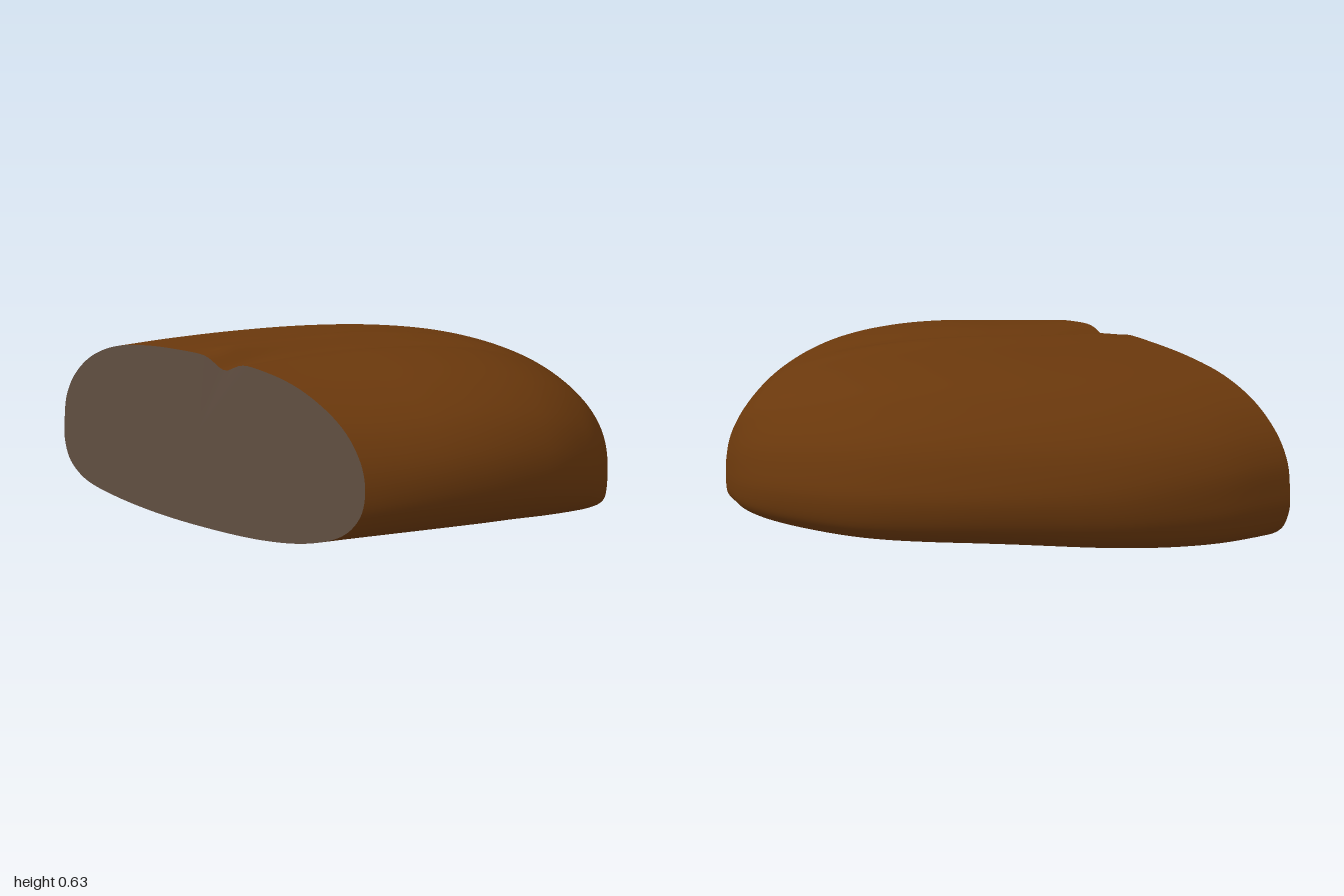
import * as THREE from 'three';

// Half loaf: [back edge x, z, crown height, front edge x, z] from the cut to the tip
const STATIONS = [
  [-1, -0.22, 0.612, 0.135, 0.65],
  [-0.8, -0.37, 0.614, 0.23, 0.63],
  [-0.55, -0.50, 0.618, 0.335, 0.603],
  [-0.25, -0.59, 0.622, 0.455, 0.563],
  [0.05, -0.645, 0.612, 0.57, 0.513],
  [0.3, -0.65, 0.587, 0.68, 0.45],
  [0.52, -0.60, 0.545, 0.77, 0.385],
  [0.7, -0.52, 0.485, 0.85, 0.305],
  [0.82, -0.425, 0.415, 0.915, 0.22],
  [0.91, -0.31, 0.33, 0.96, 0.12],
  [0.97, -0.215, 0.23, 0.988, 0.01],
  [0.998, -0.15, 0.12, 0.998, -0.08],
];

// Cross-section: across the slice, then height, back edge over the top to the front
const PROFILE = [
  [-1, 0.16], [-1, 0.25], [-0.988, 0.34], [-0.947, 0.43], [-0.87, 0.513],
  [-0.77, 0.567], [-0.645, 0.596], [-0.5, 0.609], [-0.37, 0.612], [-0.24, 0.606],
  [-0.13, 0.587], [-0.04, 0.55], [0.05, 0.485], [0.11, 0.395], [0.13, 0.30],
  [0.115, 0.21], [0.06, 0.135], [-0.05, 0.075], [-0.2, 0.035], [-0.4, 0.01],
  [-0.6, 0], [-0.78, 0.008], [-0.9, 0.03], [-0.97, 0.08],
];

// Further along, the back edge tucks under: replacements by profile index
const TUCKED = {
  0: [-0.985, 0.17], 1: [-1, 0.26], 2: [-0.98, 0.34], 3: [-0.935, 0.43], 4: [-0.855, 0.51],
  19: [-0.4, 0], 20: [-0.6, 0.015], 21: [-0.78, 0.05], 22: [-0.89, 0.085], 23: [-0.95, 0.125],
};

const RINGS = 72;
const SIDES = 180;
const bump = (v, centre, width) => Math.exp(-(((v - centre) / width) ** 2));

function makeOutline(profile) {
  const curve = new THREE.CatmullRomCurve3(
    profile.map(([x, y]) => new THREE.Vector3((x + 1) / 1.13, y / 0.612, 0)), true);
  return Array.from({ length: SIDES }, (_, j) => curve.getPoint(j / SIDES));
}

function buildRings() {
  const back = new THREE.CatmullRomCurve3(STATIONS.map(s => new THREE.Vector3(s[0], s[2], s[1])));
  const front = new THREE.CatmullRomCurve3(STATIONS.map(s => new THREE.Vector3(s[3], 0, s[4])));
  const cutOutline = makeOutline(PROFILE);
  const midOutline = makeOutline(PROFILE.map((p, i) => TUCKED[i] ?? p));

  return Array.from({ length: RINGS + 1 }, (_, i) => {
    const t = i / RINGS;
    const a = back.getPoint(t), b = front.getPoint(t);
    const tuck = THREE.MathUtils.smoothstep(t, 0, 0.35);
    const fade = 1 - THREE.MathUtils.smoothstep(t, 0.25, 0.62);
    const tilt = Math.max(0, 1 - t * 4) ** 2;
    return cutOutline.map((c, j) => {
      const p = c.clone().lerp(midOutline[j], tuck);
      const u = p.x;
      let y = Math.max(0, p.y) * a.y;
      if (p.y > 0.7) {
        // scored slash in the crust with a raised lip behind it
        const shift = 0.05 * t;
        const depth = 0.018 + 0.02 * bump(t, 0, 0.1);
        const lip = 0.014 * THREE.MathUtils.smoothstep(t, 0, 0.07);
        y += fade * (lip * bump(u, 0.5 - shift, 0.035) - depth * bump(u, 0.575 - shift, 0.04));
      }
      // the cut leans back slightly towards the top
      const lean = tilt * (0.012 - 0.04 * p.y);
      return new THREE.Vector3(
        a.x + (b.x - a.x) * u - 0.606 * lean, y,
        a.z + (b.z - a.z) * u + 0.796 * lean);
    });
  });
}

function makeGeometry(points, index) {
  const geometry = new THREE.BufferGeometry().setFromPoints(points);
  geometry.setIndex(index);
  geometry.computeVertexNormals();
  return geometry;
}

function centreOf(ring) {
  return ring.reduce((sum, p) => sum.add(p), new THREE.Vector3()).divideScalar(ring.length);
}

export function createModel() {
  const crustBrown = new THREE.MeshStandardMaterial({ color: 0x6a380c });
  crustBrown.name = 'crustBrown';
  const crumbGrey = new THREE.MeshStandardMaterial({ color: 0x5f4d40 });
  crumbGrey.name = 'crumbGrey';

  const rings = buildRings();
  const loaf = new THREE.Group();
  loaf.name = 'halfLoaf';

  // crust: skin between the rings, closed at the tip
  const skin = [];
  for (let i = 0; i < RINGS; i++) {
    for (let j = 0; j < SIDES; j++) {
      const k = (j + 1) % SIDES;
      const a = i * SIDES + j, b = i * SIDES + k;
      skin.push(a, b, a + SIDES, b, b + SIDES, a + SIDES);
    }
  }
  const points = rings.flat();
  const tip = points.length;
  points.push(centreOf(rings[RINGS]));
  for (let j = 0; j < SIDES; j++) {
    skin.push(tip, RINGS * SIDES + j, RINGS * SIDES + (j + 1) % SIDES);
  }
  const crust = new THREE.Mesh(makeGeometry(points, skin), crustBrown);
  crust.name = 'crust';
  loaf.add(crust);

  // flat cut face
  const fan = [];
  for (let j = 0; j < SIDES; j++) fan.push(SIDES, (j + 1) % SIDES, j);
  const cut = new THREE.Mesh(makeGeometry([...rings[0], centreOf(rings[0])], fan), crumbGrey);
  cut.name = 'cutFace';
  loaf.add(cut);

  return loaf;
}
